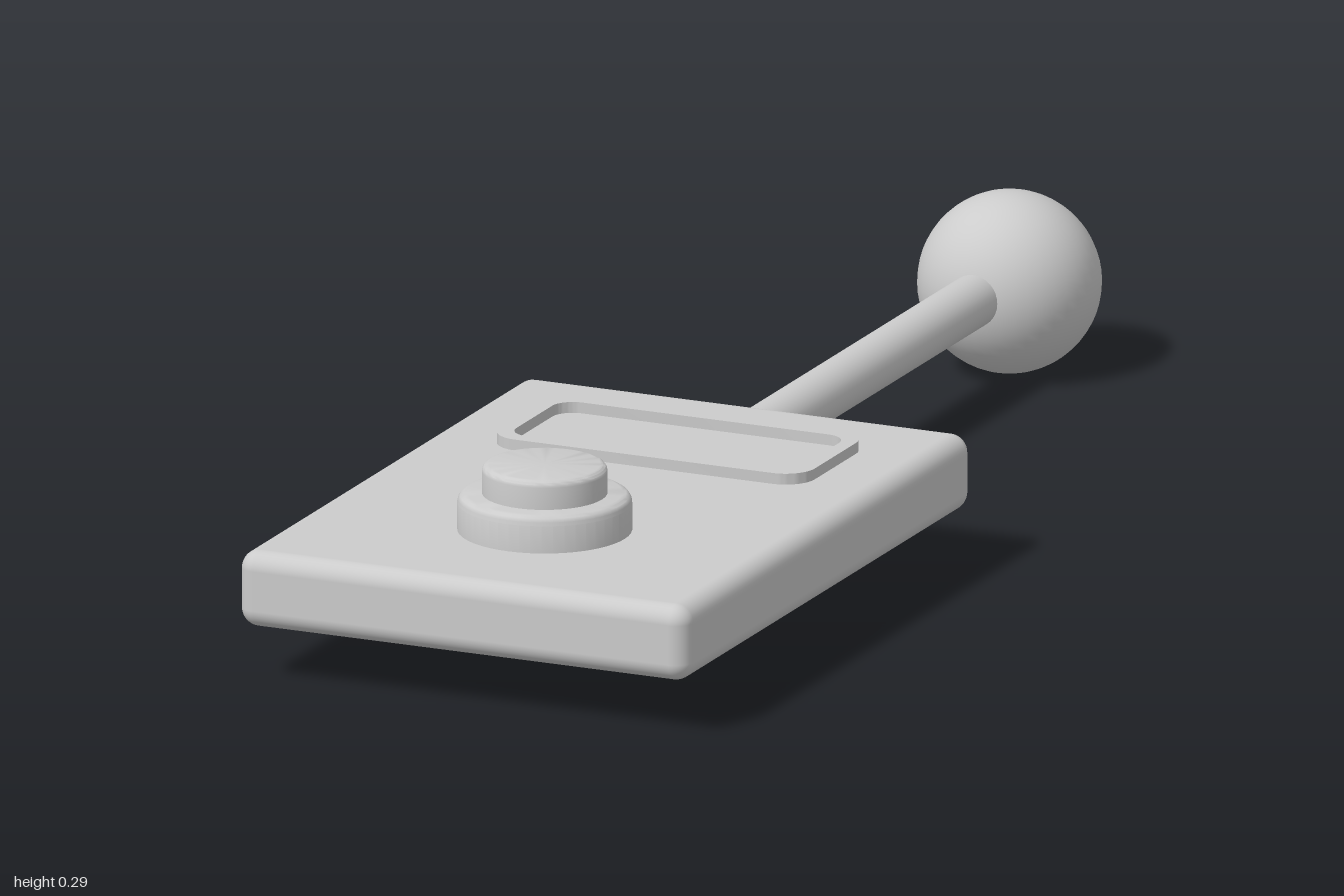
import * as THREE from 'three';
import { RoundedBoxGeometry } from 'three/addons/geometries/RoundedBoxGeometry.js';
import { toCreasedNormals } from 'three/addons/utils/BufferGeometryUtils.js';

const grey = new THREE.MeshStandardMaterial({ color: 0xcccccc });

// Rounded rectangle outline centred on the origin
function roundedRect(target, w, h, r) {
  const x = w / 2, y = h / 2;
  target.moveTo(-x + r, -y);
  target.lineTo(x - r, -y);
  target.absarc(x - r, -y + r, r, -Math.PI / 2, 0);
  target.lineTo(x, y - r);
  target.absarc(x - r, y - r, r, 0, Math.PI / 2);
  target.lineTo(-x + r, y);
  target.absarc(-x + r, y - r, r, Math.PI / 2, Math.PI);
  target.lineTo(-x, -y + r);
  target.absarc(-x + r, -y + r, r, Math.PI, Math.PI * 1.5);
  return target;
}

// Disc with a rounded top edge, rising from y0 to y1
function disc(radius, y0, y1, edge) {
  const profile = [new THREE.Vector2(0, y0), new THREE.Vector2(radius, y0)];
  for (let i = 0; i <= 4; i++) {
    const a = (i / 4) * Math.PI / 2;
    profile.push(new THREE.Vector2(radius - edge + edge * Math.cos(a), y1 - edge + edge * Math.sin(a)));
  }
  profile.push(new THREE.Vector2(0, y1));
  return toCreasedNormals(new THREE.LatheGeometry(profile, 48), 0.6);
}

export function createModel() {
  const model = new THREE.Group();
  const add = (name, geometry, x, y, z) => {
    const mesh = new THREE.Mesh(geometry, grey);
    mesh.name = name;
    mesh.position.set(x, y, z);
    model.add(mesh);
    return mesh;
  };

  // Flat control box
  add('body', new RoundedBoxGeometry(0.7, 0.112, 0.98, 5, 0.027), 0, 0.135, 0.51);

  // Raised display frame, open in the middle
  const outline = roundedRect(new THREE.Shape(), 0.49, 0.23, 0.045);
  outline.holes.push(roundedRect(new THREE.Path(), 0.446, 0.186, 0.032));
  const frame = new THREE.ExtrudeGeometry(outline, { depth: 0.027, bevelEnabled: false, curveSegments: 8 });
  frame.rotateX(-Math.PI / 2);
  add('displayFrame', toCreasedNormals(frame, 0.6), 0, 0.18, 0.261);

  // Two-step push button
  add('buttonBase', disc(0.124, 0.18, 0.245, 0.014), 0, 0, 0.714);
  add('buttonCap', disc(0.089, 0.235, 0.287, 0.01), 0, 0, 0.714);

  // Rod and ball probe at the back
  const rod = new THREE.CylinderGeometry(0.038, 0.038, 0.87, 32);
  rod.rotateX(Math.PI / 2);
  add('probeRod', rod, 0, 0.135, -0.395);
  add('probeBall', new THREE.SphereGeometry(0.131, 40, 28), 0, 0.131, -0.869);

  return model;
}
